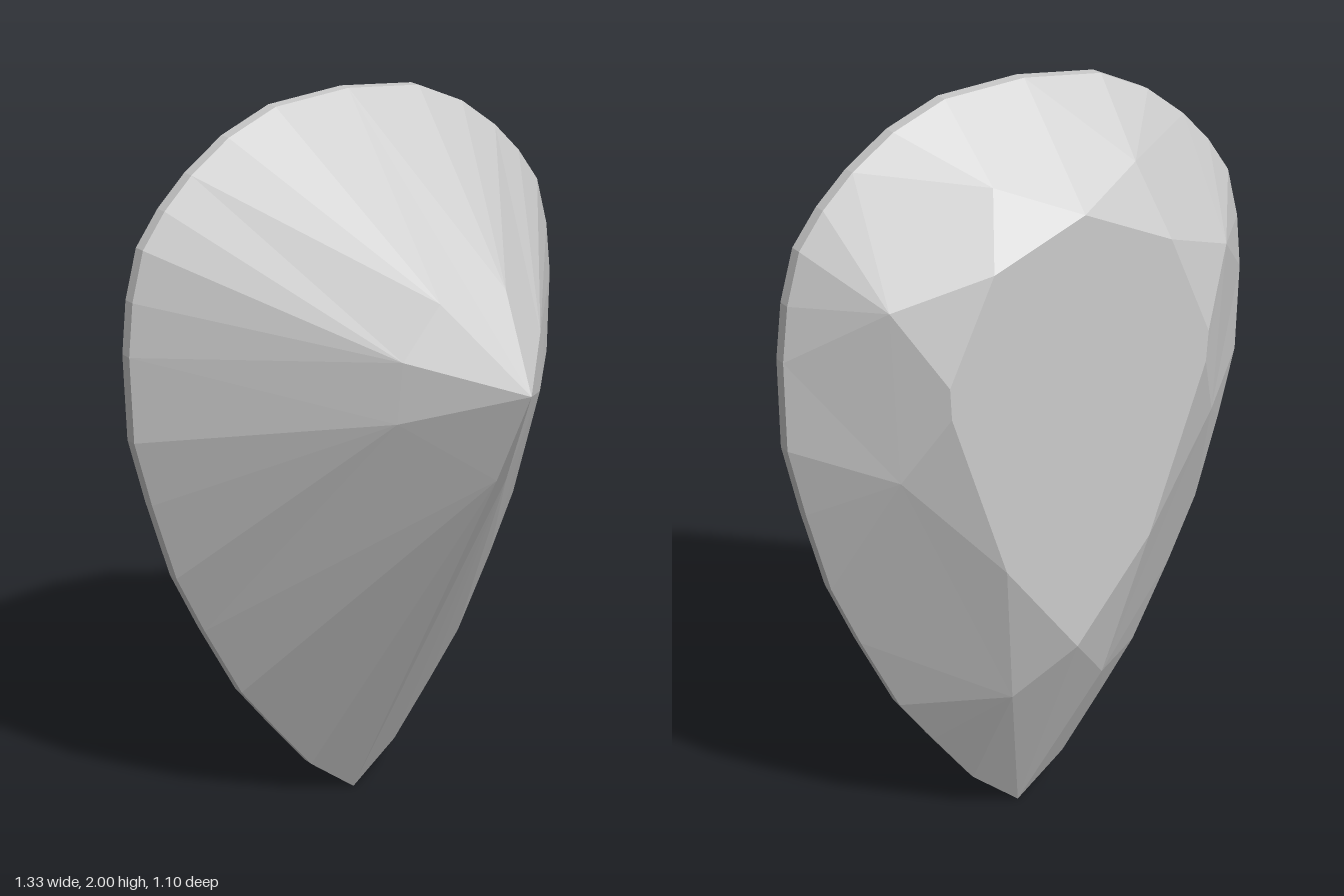
import * as THREE from 'three';

// Pear outline of the girdle, left half, from the top round to the tip
const outline = [
  [0, 2], [0.22, 1.98], [0.36, 1.92], [0.47, 1.84], [0.55, 1.76], [0.615, 1.67],
  [0.65, 1.54], [0.665, 1.4], [0.66, 1.17], [0.615, 0.99], [0.55, 0.77], [0.47, 0.6],
  [0.36, 0.39], [0.26, 0.26], [0.14, 0.11], [0, 0],
];
const mains = [0, 3, 7, 11, 15]; // outline points where main facets end
const frontZ = -0.237, backZ = -0.272, tableZ = -0.55;
const culet = [0, 1.39, 0.55];
const centre = new THREE.Vector3(0, 1.2, -0.25);

// Flat-faceted mesh from convex polygons; each is mirrored and turned outwards
function facets(name, polygons, material) {
  const positions = [];
  for (const side of [1, -1]) {
    for (const polygon of polygons) {
      const p = polygon.map(([x, y, z]) => new THREE.Vector3(side * x, y, z));
      for (let i = 1; i < p.length - 1; i++) {
        const [a, b, c] = [p[0], p[i], p[i + 1]];
        const normal = b.clone().sub(a).cross(c.clone().sub(a));
        if (normal.lengthSq() < 1e-12) continue;
        const outward = normal.dot(a.clone().sub(centre)) > 0;
        for (const v of outward ? [a, b, c] : [a, c, b]) positions.push(v.x, v.y, v.z);
      }
    }
  }
  const geometry = new THREE.BufferGeometry();
  geometry.setAttribute('position', new THREE.Float32BufferAttribute(positions, 3));
  geometry.computeVertexNormals();
  const mesh = new THREE.Mesh(geometry, material);
  mesh.name = name;
  return mesh;
}

// Half facets: fans from each inner corner to its stretch of the girdle
function halfFacets(corners, rim) {
  return corners.map((corner, i) => [corner, ...rim.slice(mains[i], mains[i + 1] + 1)]);
}

// Main facets: kites from the inner points, past neighbouring corners, to the girdle
function mainFacets(inner, corners, rim) {
  return mains.map((m, i) => {
    const before = i > 0 ? [corners[i - 1]] : [];
    const after = i < corners.length ? [corners[i]] : [];
    return [...before, rim[m], ...after, ...inner[i]];
  });
}

export function createModel() {
  const gem = new THREE.Group();
  gem.name = 'pearCutGem';
  const material = new THREE.MeshStandardMaterial({ color: 0xcccccc, flatShading: true });
  const frontRim = outline.map(([x, y]) => [x, y, frontZ]);
  const backRim = outline.map(([x, y]) => [x, y, backZ]);

  // Pavilion: pointed side, meeting at the culet
  const pavilionCorners = [[0.1, 1.58, 0.31], [0.21, 1.45, 0.31], [0.22, 1.29, 0.3], [0.015, 1.14, 0.435]];
  gem.add(facets('pavilion', [
    ...halfFacets(pavilionCorners, frontRim),
    ...mainFacets(mains.map(() => [culet]), pavilionCorners, frontRim),
  ], material));

  // Girdle: narrow band round the widest outline
  gem.add(facets('girdle', outline.slice(1).map((_, i) =>
    [frontRim[i], frontRim[i + 1], backRim[i + 1], backRim[i]]), material));

  // Crown: shallow side; its inner points are the corners of the table
  const table = [[[0, 1.735]], [[0.25, 1.63]], [[0.365, 1.29], [0.37, 1.37]], [[0.21, 0.85]], [[0, 0.59]]]
    .map((points) => points.map(([x, y]) => [x, y, tableZ]));
  const crownCorners = [[0.2, 1.81, -0.46], [0.48, 1.55, -0.46], [0.454, 1.11, -0.46], [0.136, 0.44, -0.46]];
  gem.add(facets('crown', [
    ...halfFacets(crownCorners, backRim),
    ...mainFacets(table, crownCorners, backRim),
    // Star facets between the table and the corners
    ...crownCorners.map((corner, i) => [corner, table[i][0], table[i + 1].at(-1)]),
  ], material));

  // Table: flat back face
  gem.add(facets('table', [table.flatMap((points) => [...points].reverse())], material));
  return gem;
}
